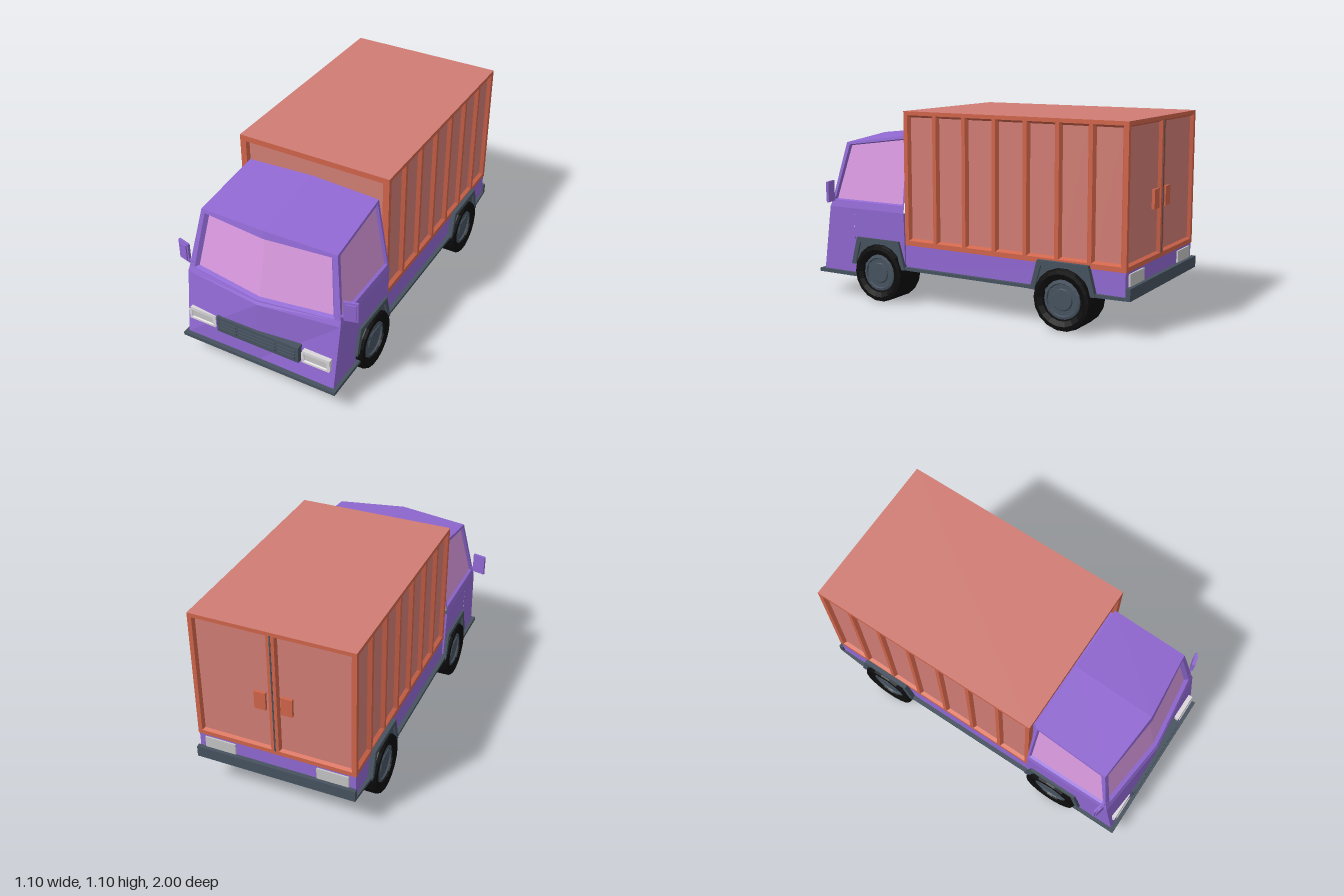
import * as THREE from 'three';

const mat = (name, color) => Object.assign(new THREE.MeshStandardMaterial({ color }), { name });
const PURPLE = mat('cab purple', 0x9068d2);
const GLASS = mat('window pink', 0xd898de);
const ORANGE = mat('cargo frame orange', 0xd0644a);
const SALMON = mat('cargo panel salmon', 0xd07d74);
const SLATE = mat('trim slate', 0x46525f);
const BLACK = mat('tyre black', 0x0c0c0c);
const SILVER = mat('lamp rim silver', 0xdad6da);
const LENS = mat('lamp lens grey', 0xc4c4c4);

const truck = () => {
  const root = new THREE.Group();
  root.name = 'boxTruck';

  const add = (name, geo, material) => {
    const mesh = new THREE.Mesh(geo, material);
    mesh.name = name;
    root.add(mesh);
    return mesh;
  };
  // Box given by its min and max corners
  const box = (name, material, [x0, y0, z0], [x1, y1, z1]) => {
    const mesh = add(name, new THREE.BoxGeometry(x1 - x0, y1 - y0, z1 - z0), material);
    mesh.position.set((x0 + x1) / 2, (y0 + y1) / 2, (z0 + z1) / 2);
    return mesh;
  };
  // Flat-shaded polygons, each drawn as a fan from its first corner
  const faces = (name, polys, material) => {
    const pos = [];
    for (const p of polys)
      for (let i = 1; i < p.length - 1; i++) pos.push(...p[0], ...p[i], ...p[i + 1]);
    const geo = new THREE.BufferGeometry();
    geo.setAttribute('position', new THREE.Float32BufferAttribute(pos, 3));
    geo.computeVertexNormals();
    return add(name, geo, material);
  };
  const flip = (poly) => poly.map(([x, y, z]) => [-x, y, z]).reverse();
  const both = (polys) => [...polys, ...polys.map(flip)];
  const ring = (a, b) => a.map((p, i) => {
    const j = (i + 1) % a.length;
    return [p, a[j], b[j], b[i]];
  });
  // Frame, bevelled reveal and recessed pane
  const inset = (name, outer, inner, pane, frameMat, paneMat) => {
    faces(name + 'Frame', [...ring(outer, inner), ...ring(inner, pane)], frameMat);
    faces(name + 'Pane', [pane], paneMat);
  };
  // Rectangular inset on a plane; f maps (across, up, outward) to a point
  const panel = (name, f, o, i, margin, depth, frameMat, paneMat) => {
    const rect = ([a0, b0, a1, b1], m, d) =>
      [[a0 + m, b0 + m], [a1 - m, b0 + m], [a1 - m, b1 - m], [a0 + m, b1 - m]].map(([a, b]) => f(a, b, d));
    inset(name, rect(o, 0, 0), rect(i, 0, 0), rect(i, margin, -depth), frameMat, paneMat);
  };
  const shrink = (pts, s, [dx, dy, dz]) => {
    const c = [0, 1, 2].map((k) => pts.reduce((t, p) => t + p[k], 0) / pts.length);
    const d = [dx, dy, dz];
    return pts.map((p) => p.map((v, k) => c[k] + (v - c[k]) * s + d[k]));
  };

  // Cab body: lower panels, belt line and roof
  const back = 0.385;
  const sideX = (y) => 0.47 - 0.165 * (y - 0.53);
  const screenZ = (x, y) => 0.955 - 0.23 * (y - 0.54) - 0.1 * Math.abs(x);
  const onScreen = ([x, y]) => [x, y, screenZ(x, y)];
  const onSide = ([z, y]) => [sideX(y), y, z];
  const belt = [0.47, 0.53, 0.915], beltC = [0, 0.52, 0.965];
  const sill = onScreen([0.465, 0.56]), sillC = onScreen([0, 0.535]);
  const roof = onScreen([0.408, 0.905]), roofC = onScreen([0, 0.93]);
  const roofBack = onSide([back, 0.965]);
  faces('cabBody', both([
    [[0, 0.15, 0.972], [0.46, 0.15, 0.975], belt, beltC],
    [beltC, belt, sill, sillC],
    [[0.46, 0.15, 0.975], [0.46, 0.15, 0.74], [0.47, 0.53, 0.74], belt],
    [[0.46, 0.21, 0.74], [0.46, 0.21, back], [0.47, 0.53, back], [0.47, 0.53, 0.74]],
    [belt, [0.47, 0.53, back], onSide([back, 0.56]), sill],
    [[0.47, 0.53, back], [0.46, 0.21, back], [0, 0.21, back], [0, 0.53, back]],
  ]), PURPLE);
  faces('cabRoof', both([[roofC, roof, roofBack, [0, 0.985, back]]]), PURPLE);
  box('cabBackWall', PURPLE, [-0.385, 0.4, 0.35], [0.385, 0.95, 0.39]);

  // Windscreen
  const screenIn = [[0, 0.543], [0.432, 0.562], [0.385, 0.887], [0, 0.887], [-0.385, 0.887], [-0.432, 0.562]].map(onScreen);
  const [sillR] = flip([sill]), [roofR] = flip([roof]);
  inset('windscreen', [sillC, sill, roof, roofC, roofR, sillR], screenIn,
    shrink(screenIn, 0.955, [0, 0, -0.02]), PURPLE, GLASS);

  // Side windows
  const sideOut = [sill, onSide([back, 0.56]), roofBack, roof];
  const sideIn = [[0.885, 0.57], [0.395, 0.57], [0.402, 0.947], [0.808, 0.893]].map(onSide);
  const sidePane = shrink(sideIn, 0.965, [-0.015, 0, 0]);
  inset('leftWindow', sideOut, sideIn, sidePane, PURPLE, GLASS);
  inset('rightWindow', flip(sideOut), flip(sideIn), flip(sidePane), PURPLE, GLASS);

  // Wing mirrors and headlights
  for (const s of [1, -1]) {
    const mirror = new THREE.Group();
    mirror.name = 'wingMirror';
    const shell = new THREE.Mesh(new THREE.BoxGeometry(0.078, 0.12, 0.014), PURPLE);
    const bulge = new THREE.Mesh(new THREE.BoxGeometry(0.056, 0.098, 0.008), PURPLE);
    bulge.position.z = 0.01;
    const arm = new THREE.Mesh(new THREE.BoxGeometry(0.05, 0.012, 0.012), PURPLE);
    arm.position.set(-s * 0.045, -0.04, 0);
    mirror.add(shell, bulge, arm);
    mirror.position.set(s * 0.51, 0.625, 0.878);
    mirror.rotation.y = s * 0.25;
    root.add(mirror);

    const c = s * 0.3545;
    box('headlightHousing', SILVER, [c - 0.083, 0.257, 0.92], [c + 0.083, 0.328, 0.972]);
    panel('headlight', (a, b, d) => [c + a, b, 0.98 + d], [-0.083, 0.257, 0.083, 0.328],
      [-0.07, 0.269, 0.07, 0.318], 0.006, 0.006, SILVER, LENS);

    // Tail lights
    const t = s * 0.325;
    box('tailLight', LENS, [t - 0.09, 0.25, -0.98], [t + 0.09, 0.335, -0.96]);
  }

  // Grille with three columns of slats
  box('grille', SLATE, [-0.255, 0.245, 0.94], [0.255, 0.345, 0.984]);
  for (const [x, w] of [[-0.182, 0.105], [0, 0.23], [0.182, 0.105]])
    for (const y of [0.273, 0.295, 0.317])
      box('grilleSlat', SLATE, [x - w / 2, y - 0.007, 0.98], [x + w / 2, y + 0.007, 0.991]);

  // Floor, bumpers and lower chassis
  box('frontBumper', SLATE, [-0.48, 0.13, 0.72], [0.48, 0.15, 1]);
  box('floorStep', SLATE, [-0.455, 0.14, 0.72], [0.455, 0.21, 0.74]);
  const floor = new THREE.Shape([[-0.475, -0.73], [0.475, -0.73], [0.475, 0.8], [0.46, 1], [-0.46, 1], [-0.475, 0.8]]
    .map((p) => new THREE.Vector2(...p)));
  add('floor', new THREE.ExtrudeGeometry(floor, { depth: 0.017, bevelEnabled: false }).rotateX(-Math.PI / 2), SLATE)
    .position.y = 0.205;
  box('rearBumper', SLATE, [-0.46, 0.205, -1], [0.46, 0.27, -0.975]);
  box('chassis', PURPLE, [-0.452, 0.215, -0.97], [0.452, 0.35, back]);

  // Cargo box: roof, ribbed sides, front panel and rear doors
  const X = 0.456, low = 0.348, top = 1.105, rear = -0.975;
  faces('cargoRoof', [[[-X, top, back], [X, top, back], [X, top, rear], [-X, top, rear]]], SALMON);
  faces('cargoBase', [[[-X, low, rear], [X, low, rear], [X, low, back], [-X, low, back]]], ORANGE);
  for (const s of [1, -1])
    for (let i = 0; i < 7; i++) {
      const c = 0.276 - 0.19 * i;
      const z1 = i === 0 ? back : c + 0.095, z0 = i === 6 ? rear : c - 0.095;
      const span = (a, b, y0, y1) => (s > 0 ? [-b, y0, -a, y1] : [a, y0, b, y1]);
      panel('cargoSide', (a, b, d) => [s * (X + d), b, -s * a],
        span(z0, z1, low, top), span(c - 0.084, c + 0.084, 0.375, 1.083), 0.012, 0.02, ORANGE, SALMON);
    }
  panel('cargoFront', (a, b, d) => [a, b, back + d], [-X, low, X, top],
    [-0.42, 0.385, 0.42, 1.072], 0.01, 0.02, ORANGE, SALMON);
  for (const s of [1, -1]) {
    const span = (a, b, y0, y1) => (s > 0 ? [a, y0, b, y1] : [-b, y0, -a, y1]);
    panel('rearDoor', (a, b, d) => [-a, b, rear - d], span(0, X, low, top),
      span(0.022, 0.432, 0.373, 1.083), 0.01, 0.018, ORANGE, SALMON);
    box('doorHandle', ORANGE, [s * 0.075 - 0.032, 0.62, -0.974], [s * 0.075 + 0.032, 0.725, -0.955]);
  }
  box('doorSeam', SLATE, [-0.004, 0.37, -0.977], [0.004, 1.085, -0.97]);

  // Wheels and flared wheel arches
  const lathe = (pts) => {
    const g = new THREE.LatheGeometry(pts.map((p) => new THREE.Vector2(...p)), 18)
      .rotateZ(-Math.PI / 2).toNonIndexed();
    g.computeVertexNormals();
    return g;
  };
  const tyre = lathe([[0, 0.295], [0.158, 0.295], [0.168, 0.306], [0.168, 0.474], [0.16, 0.489],
    [0.14, 0.492], [0.112, 0.482], [0.106, 0.462], [0, 0.462]]);
  const hub = lathe([[0.106, 0.46], [0.104, 0.476], [0.09, 0.479], [0.085, 0.47], [0.06, 0.47], [0.055, 0.477], [0, 0.477]]);
  const arch = (pts, depth) => new THREE.ExtrudeGeometry(
    new THREE.Shape(pts.map((p) => new THREE.Vector2(...p))), { depth, bevelEnabled: false }).rotateY(Math.PI / 2);
  const inner = [[-0.163, 0.205], [-0.126, 0.337], [0.126, 0.337], [0.163, 0.205]];
  const flare = arch([[0.19, 0.205], [0.148, 0.365], [-0.148, 0.365], [-0.19, 0.205], ...inner], 0.05);
  const well = arch(inner, 0.03);
  for (const s of [1, -1])
    for (const [wheelZ, archZ] of [[0.56, 0.567], [-0.625, -0.625]]) {
      for (const [name, geo, m] of [['tyre', tyre, BLACK], ['hub', hub, SLATE]]) {
        const w = add(name, geo, m);
        w.position.set(0, 0.168, wheelZ);
        w.rotation.y = s > 0 ? 0 : Math.PI;
      }
      add('wheelArch', flare, SLATE).position.set(s > 0 ? 0.43 : -0.48, 0, archZ);
      add('wheelWell', well, SLATE).position.set(s > 0 ? 0.438 : -0.468, 0, archZ);
    }
  return root;
};

export function createModel() {
  return truck();
}
